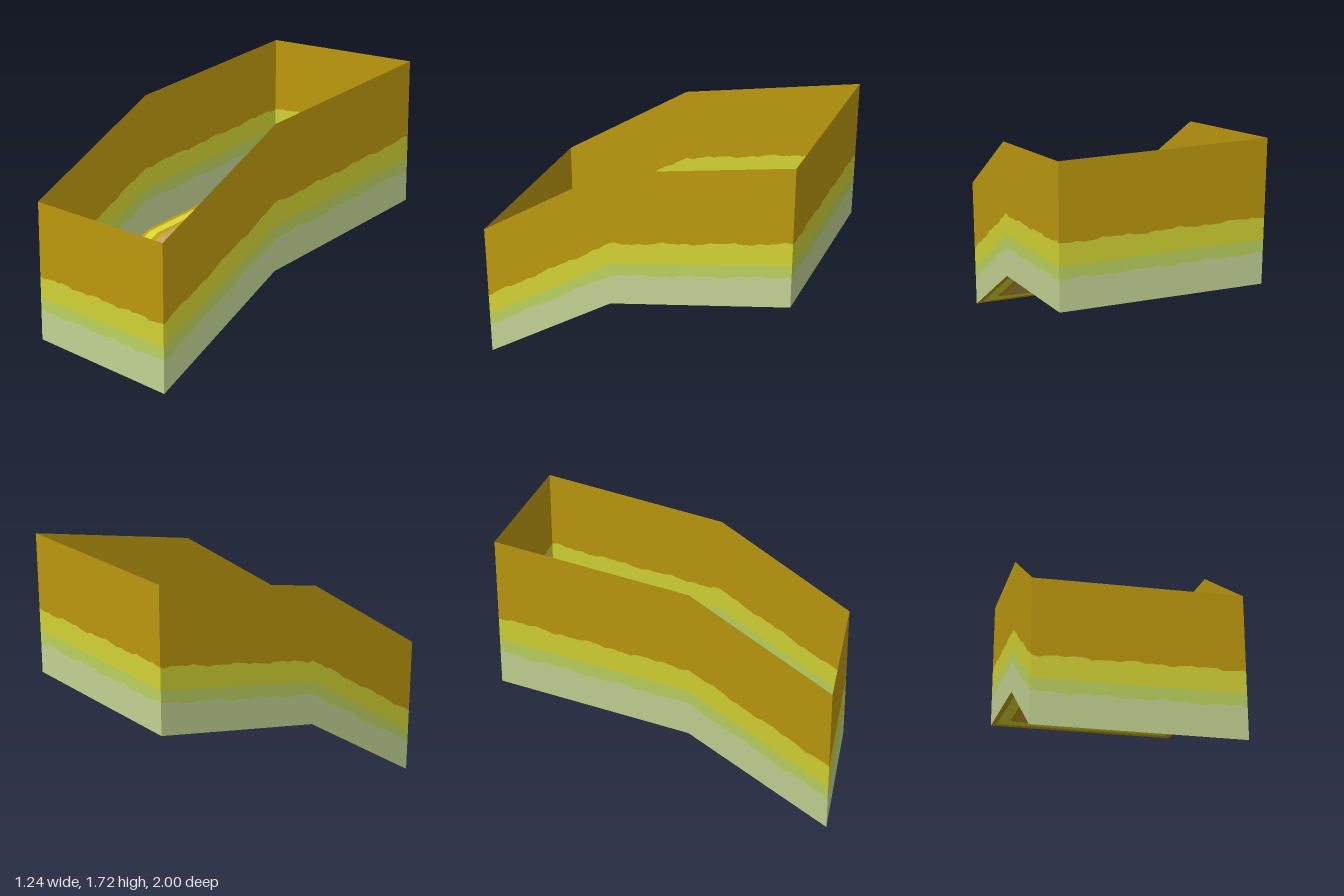
import * as THREE from 'three';
import { mergeGeometries } from 'three/addons/utils/BufferGeometryUtils.js';

const FOLD = 0.147;      // z of the bend across the floor
const HEIGHT = 0.9;      // wall height above the floor

const paint = (name, color) => {
  const m = new THREE.MeshStandardMaterial({ color, side: THREE.DoubleSide });
  m.name = name;
  return m;
};

// Height of the bent floor at any z
const floorY = z => z > FOLD
  ? 0.565 * (1 - z) / (1 - FOLD)
  : 0.565 + 0.25 * (FOLD - z) / (1 + FOLD);

// The right-hand wall flares very slightly towards the back
const flare = (x, z) => x > 0 ? x * (1 - 0.005 * z) : x;

// Smooth ragged offset along the perimeter
const ragged = (s, seed) =>
  0.005 * Math.sin(s * 17 + seed) + 0.004 * Math.sin(s * 41 + seed * 2.3) + 0.003 * Math.sin(s * 83 + seed * 5);

// One horizontal band around all the walls, between two edges given as functions of the perimeter distance
function wallBand(low, high) {
  const ring = [[-0.62, 1], [0.615, 1], [0.615, FOLD], [0.615, -1], [-0.62, -1], [-0.62, FOLD], [-0.62, 1]]
    .map(([x, z]) => [flare(x, z), z]);
  const pieces = [];
  let start = 0;
  for (let k = 0; k < ring.length - 1; k++) {
    const [ax, az] = ring[k], [bx, bz] = ring[k + 1];
    const length = Math.hypot(bx - ax, bz - az);
    const n = Math.ceil(length / 0.025);
    const pos = [], index = [];
    for (let i = 0; i <= n; i++) {
      const t = i / n, s = start + length * t;
      const x = ax + (bx - ax) * t, z = az + (bz - az) * t, y = floorY(z);
      pos.push(x, y + low(s), z, x, y + high(s), z);
      if (i < n) {
        const a = 2 * i;
        index.push(a, a + 2, a + 3, a, a + 3, a + 1);
      }
    }
    const g = new THREE.BufferGeometry();
    g.setAttribute('position', new THREE.Float32BufferAttribute(pos, 3));
    g.setIndex(index);
    g.computeVertexNormals();
    pieces.push(g);
    start += length;
  }
  return mergeGeometries(pieces);
}

// U-shaped outline from the fold to one end of the floor and back, with rounded corners
function halfOutline({ x0, x1, front, back, r }, side) {
  const end = side > 0 ? front : back;
  const pts = [[x0, FOLD]];
  for (const [cx, dir] of [[x0, 1], [x1, -1]]) {
    for (let i = 0; i <= 6; i++) {
      const a = (dir > 0 ? i : 6 - i) / 6 * Math.PI / 2;
      pts.push([cx + dir * r * (1 - Math.cos(a)), end - side * r * (1 - Math.sin(a))]);
      if (r === 0) break;
    }
  }
  pts.push([x1, FOLD]);
  return pts.map(([x, z]) => new THREE.Vector2(x, -z));
}

// Floor strip between two outlines (or the filled centre), laid over the bend
function floorStrip(outer, inner) {
  return mergeGeometries([1, -1].map(side => {
    const pts = halfOutline(outer, side);
    if (inner) pts.push(...halfOutline(inner, side).reverse());
    const g = new THREE.ShapeGeometry(new THREE.Shape(pts));
    const p = g.attributes.position;
    for (let i = 0; i < p.count; i++) {
      const z = -p.getY(i);
      p.setXYZ(i, flare(p.getX(i), z), floorY(z), z);
    }
    g.computeVertexNormals();
    return g;
  }));
}

export function createModel() {
  const model = new THREE.Group();
  const mustard = paint('mustard', 0xbc980e);
  const yellow = paint('yellow', 0xd2d334);
  const green = paint('leaf green', 0xbcd35f);
  const sage = paint('pale sage', 0xc3d393);
  const tan = paint('tan', 0xbd9c55);

  const add = (parent, name, geometry, material) => {
    const mesh = new THREE.Mesh(geometry, material);
    mesh.name = name;
    parent.add(mesh);
  };

  // Walls: four stacked bands that follow the floor
  const walls = new THREE.Group();
  walls.name = 'walls';
  const edges = [
    () => 0,
    s => 0.2 + ragged(s, 1),
    () => 0.28,
    s => 0.42 + ragged(s, 4),
    () => HEIGHT,
  ];
  [['wallBase', sage], ['wallGreenBand', green], ['wallYellowBand', yellow], ['wallTop', mustard]]
    .forEach(([name, material], i) => add(walls, name, wallBand(edges[i], edges[i + 1]), material));
  model.add(walls);

  // Floor: nested borders around a tan centre
  const floor = new THREE.Group();
  floor.name = 'floor';
  const rings = [
    { x0: -0.62, x1: 0.615, front: 1, back: -1, r: 0 },
    { x0: -0.587, x1: 0.58, front: 0.948, back: -0.928, r: 0.012 },
    { x0: -0.515, x1: 0.51, front: 0.842, back: -0.8, r: 0.04 },
    { x0: -0.473, x1: 0.465, front: 0.782, back: -0.715, r: 0.012 },
  ];
  [['floorRim', mustard], ['floorYellowBorder', yellow], ['floorInnerBorder', mustard], ['floorCentre', tan]]
    .forEach(([name, material], i) => add(floor, name, floorStrip(rings[i], rings[i + 1]), material));
  model.add(floor);

  return model;
}
